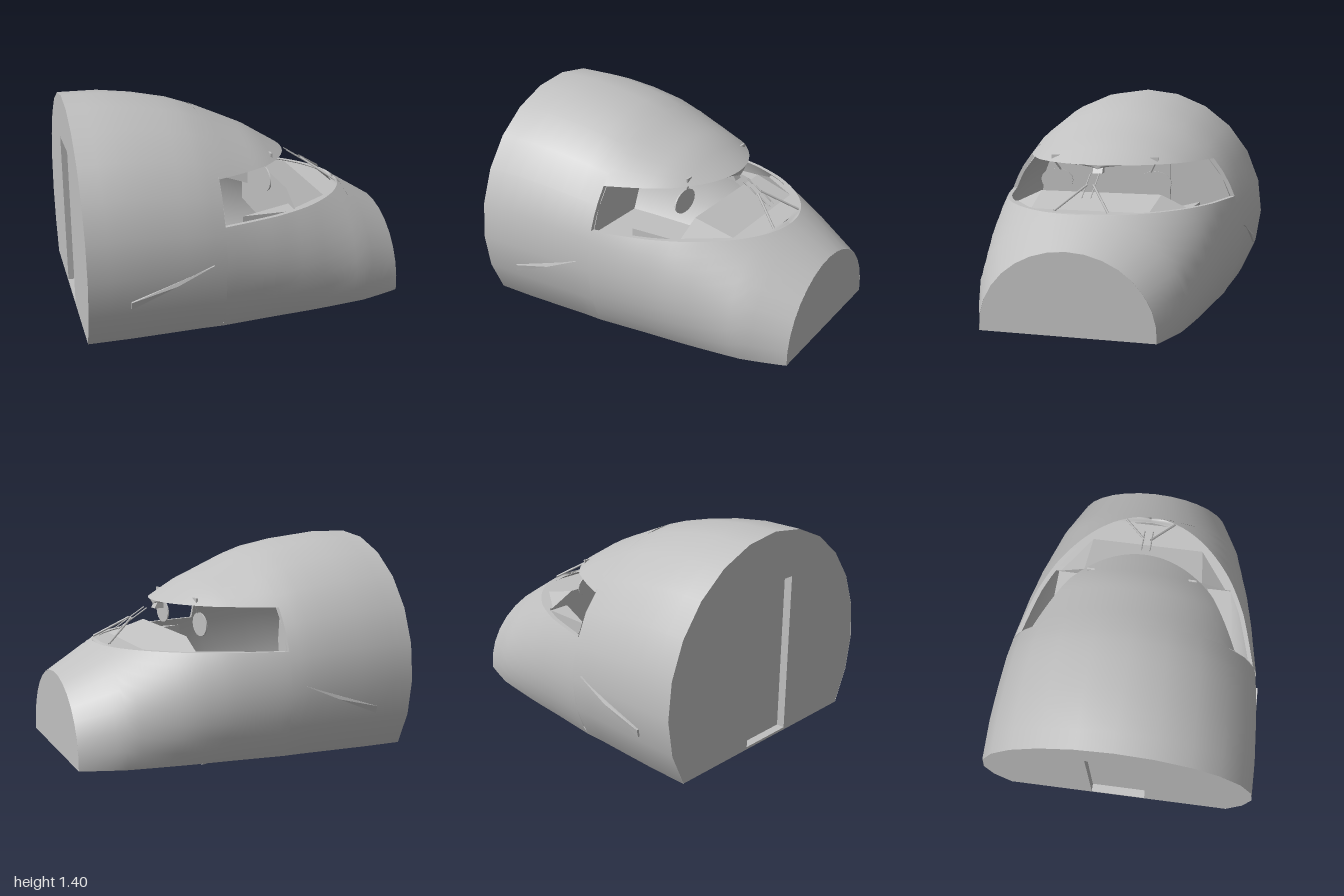
import * as THREE from 'three';
import { ConvexGeometry } from 'three/addons/geometries/ConvexGeometry.js';

const skin = new THREE.MeshStandardMaterial({ color: 0xc0c0c0, side: THREE.DoubleSide });
skin.name = 'light grey';

// Fuselage stations: x, crown height, half width, height of the widest point
const STATIONS = [
  [-1, 1.4, 0.84, 0.56], [-0.76, 1.4, 0.84, 0.56], [-0.55, 1.375, 0.83, 0.55],
  [-0.33, 1.33, 0.815, 0.53], [-0.2, 1.285, 0.8, 0.5], [0.13, 1.14, 0.75, 0.44],
  [0.36, 1.0, 0.71, 0.375], [0.74, 0.76, 0.62, 0.25], [1, 0.6, 0.515, 0.15],
];
const BASE = 0.12, SILL = 0.76, HEAD = 1.0, WALL = 0.025, WIN_X = -0.2;

function section(x, inset = 0) {
  let i = 1;
  while (i < STATIONS.length - 1 && x > STATIONS[i][0]) i++;
  const a = STATIONS[i - 1], b = STATIONS[i], t = (x - a[0]) / (b[0] - a[0]);
  const [top, rz, yc] = [1, 2, 3].map((k) => a[k] + (b[k] - a[k]) * t);
  return { yc, rz: rz - inset, ry: top - yc - inset };
}
function hullPoint(x, a, inset = 0) {
  const s = section(x, inset);
  return new THREE.Vector3(x, s.yc + s.ry * Math.sin(a), s.rz * Math.cos(a));
}
function angleAt(x, y, inset = 0) {
  const s = section(x, inset);
  return Math.asin(THREE.MathUtils.clamp((y - s.yc) / s.ry, -1, 1));
}
const halfWidth = (x, y, inset = 0) => hullPoint(x, angleAt(x, y, inset), inset).z;

function hullNormal(x, a, inset) {
  const dx = hullPoint(x + 0.07, a, inset).sub(hullPoint(x - 0.07, a, inset));
  const da = hullPoint(x, a + 0.01, inset).sub(hullPoint(x, a - 0.01, inset));
  return dx.cross(da).normalize();
}

// Grid surface from a point rule, with optional normal rule
function grid(us, nv, point, normal, flip) {
  const pos = [], nor = [], idx = [];
  us.forEach((u, i) => {
    for (let j = 0; j <= nv; j++) {
      pos.push(...point(u, j / nv).toArray());
      if (normal) nor.push(...normal(u, j / nv).toArray());
      if (i && j) {
        const d = i * (nv + 1) + j, c = d - 1, b = d - nv - 1, a = b - 1;
        if (flip) idx.push(a, d, c, a, b, d);
        else idx.push(a, c, d, a, d, b);
      }
    }
  });
  const g = new THREE.BufferGeometry();
  g.setAttribute('position', new THREE.Float32BufferAttribute(pos, 3));
  g.setIndex(idx);
  if (normal) g.setAttribute('normal', new THREE.Float32BufferAttribute(nor, 3));
  else g.computeVertexNormals();
  return g;
}

// Stations from x0 to x1, closer together towards x1
function steps(x0, x1, n) {
  return Array.from({ length: n + 1 }, (_, i) => x0 + (x1 - x0) * (1 - (1 - i / n) ** 2));
}

export function createModel() {
  const model = new THREE.Group();
  const add = (name, geo, x = 0, y = 0, z = 0) => {
    const m = new THREE.Mesh(geo, skin);
    m.name = name;
    m.position.set(x, y, z);
    model.add(m);
    return m;
  };
  const box = (name, w, h, d, x, y, z) => add(name, new THREE.BoxGeometry(w, h, d), x, y, z);
  const rod = (name, a, b, r) => add(name, new THREE.TubeGeometry(
    new THREE.LineCurve3(new THREE.Vector3(...a), new THREE.Vector3(...b)), 1, r, 6));

  // Double-walled hull panel between two angle rules, with rims along both edges
  function panel(name, xs, lo, hi, nv) {
    const ang = (x, v, t) => THREE.MathUtils.lerp(lo(x, t), hi(x, t), v);
    for (const [label, t] of [['Outer', 0], ['Inner', WALL]]) {
      add(name + label, grid(xs, nv, (x, v) => hullPoint(x, ang(x, v, t), t),
        (x, v) => hullNormal(x, ang(x, v, t), t).multiplyScalar(t ? -1 : 1), t === 0));
    }
    [0, 1].forEach((e) => add(name + 'Rim', grid(xs, 1, (x, v) =>
      hullPoint(x, ang(x, e, v * WALL), v * WALL), null, e === 0)));
  }
  const at = (y) => (x, t) => angleAt(x, y, t);
  const mirrored = (y) => (x, t) => Math.PI - angleAt(x, y, t);

  // Fuselage: closed rear part, roof above the windows, sides and nose below
  panel('rearHull', [-1, -0.88, -0.76, -0.65, -0.55, -0.44, -0.33, -0.265, WIN_X], at(BASE), mirrored(BASE), 16);
  panel('roof', steps(WIN_X, 0.36, 24), at(HEAD), mirrored(HEAD), 12);
  const lowerXs = [...steps(WIN_X, 0.74, 30), 0.8, 0.87, 0.94, 1];
  panel('leftSide', lowerXs, at(BASE), at(SILL), 8);
  panel('rightSide', lowerXs, mirrored(SILL), mirrored(BASE), 8);

  // Rear window jambs
  for (const side of [1, -1]) {
    add('windowJamb', grid([SILL, 0.84, 0.92, HEAD], 1, (y, v) => {
      const p = hullPoint(WIN_X, angleAt(WIN_X, y, v * WALL), v * WALL);
      p.z *= side;
      return p;
    }));
  }

  // Bulkhead shapes across the fuselage
  const crossShape = (x, inset) => {
    const lo = angleAt(x, BASE, inset), n = 16, pts = [];
    for (let i = 0; i <= n; i++) {
      const p = hullPoint(x, lo + (Math.PI - 2 * lo) * i / n, inset);
      pts.push(new THREE.Vector2(p.z, p.y));
    }
    return new THREE.Shape(pts);
  };
  const slab = (shape, depth) =>
    new THREE.ExtrudeGeometry(shape, { depth, bevelEnabled: false }).rotateY(Math.PI / 2);
  const rear = crossShape(-1, 0.002);
  rear.holes.push(new THREE.Path([[-0.175, 0.135], [-0.175, 1.1], [0.175, 1.1], [0.175, 0.135]]
    .map((p) => new THREE.Vector2(...p))));
  add('rearBulkhead', slab(rear, 0.05), -1);
  box('rearDoor', 0.02, 0.98, 0.37, -0.94, 0.615, 0);
  add('noseBulkhead', slab(crossShape(1, 0.001), 0.02), 0.98);

  // Horizontal plates following the hull outline
  function deck(name, x0, x1, y, inset, h) {
    const pts = [];
    for (let i = 0; i <= 24; i++) {
      const x = x0 + (x1 - x0) * i / 24;
      pts.push(new THREE.Vector2(x, halfWidth(x, y, inset)));
    }
    const all = [...pts, ...pts.slice().reverse().map((p) => new THREE.Vector2(p.x, -p.y))];
    const g = new THREE.ExtrudeGeometry(new THREE.Shape(all), { depth: h, bevelEnabled: false });
    add(name, g.rotateX(Math.PI / 2), 0, y + h, 0);
  }
  deck('floor', -1, 1, BASE, 0.001, 0.015);
  deck('dashDeck', 0.29, 0.69, 0.74, WALL, 0.012);

  // Glare shield and instrument panel
  const pair = (x, y, z) => [new THREE.Vector3(x, y, z), new THREE.Vector3(x, y, -z)];
  add('glareShield', new ConvexGeometry([
    ...pair(0.29, 0.825, 0.38), ...pair(0.29, 0.75, 0.54), ...pair(0.54, 0.752, 0.36)]));
  box('instrumentPanel', 0.02, 0.3, 1.08, 0.3, 0.6, 0);

  // Overhead bracket behind the windscreen peak
  add('overheadBracket', new ConvexGeometry([
    ...pair(0.3, 1.0, 0.03), ...pair(0.3, 0.95, 0.03), ...pair(0.36, 0.95, 0.03), ...pair(0.34, 0.985, 0.03)]));

  for (const s of [1, -1]) {
    // Side console
    add('sideConsole', new ConvexGeometry([[-0.04, 0.74, 0.56], [0.29, 0.74, 0.55], [0.29, 0.74, 0.42],
      [-0.04, 0.68, 0.56], [0.29, 0.6, 0.55], [0.29, 0.6, 0.42]].map(([x, y, z]) => new THREE.Vector3(x, y, s * z))));

    // Display plate on its arm
    const plate = new THREE.CylinderGeometry(1, 1, 0.008, 16).rotateZ(Math.PI / 2).scale(1, 0.072, 0.105);
    add('displayPlate', plate, 0.175, 0.88, s * 0.315);
    rod('displayArm', [0.175, 0.945, s * 0.29], [0.205, 1.0, s * 0.32], 0.006);
    box('displayMount', 0.012, 0.04, 0.05, 0.205, 1.02, s * 0.315);

    // Windscreen wiper: arm and blade
    rod('wiperArm', [0.7, 0.772, s * 0.16], [0.51, 0.9, s * 0.02], 0.007);
    rod('wiperBlade', [0.41, 0.957, s * 0.027], [0.6, 0.835, s * 0.027], 0.004);

    // Side strake
    const strake = [[-0.76, 0.355], [-0.76, 0.4], [-0.28, 0.56], [-0.5, 0.465]].flatMap(([x, y]) =>
      [-0.01, 0.008].map((o) => new THREE.Vector3(x, y, s * (halfWidth(x, y) + o))));
    add('sideStrake', new ConvexGeometry(strake));

    // Rounded foot under the floor
    const foot = new THREE.Shape();
    foot.moveTo(-0.034, 0.13);
    foot.lineTo(-0.034, 0.034);
    foot.absarc(0, 0.034, 0.034, Math.PI, Math.PI * 2, false);
    foot.lineTo(0.034, 0.13);
    add('foot', slab(foot, 0.025), 0.138, 0, s * 0.305);

    // Skid rails
    for (const z of [0.42, 0.19]) box('skidRail', 0.3, 0.022, 0.026, -0.15, 0.111, s * z);
    // Belly seam strips
    box('bellySeam', 1.4, 0.006, 0.008, -0.03, 0.118, s * 0.56);
    box('bellySeam', 0.26, 0.006, 0.008, 0.36, 0.118, s * 0.24);
    box('bellySeam', 0.26, 0.006, 0.008, 0.36, 0.118, s * 0.38);
  }
  return model;
}
